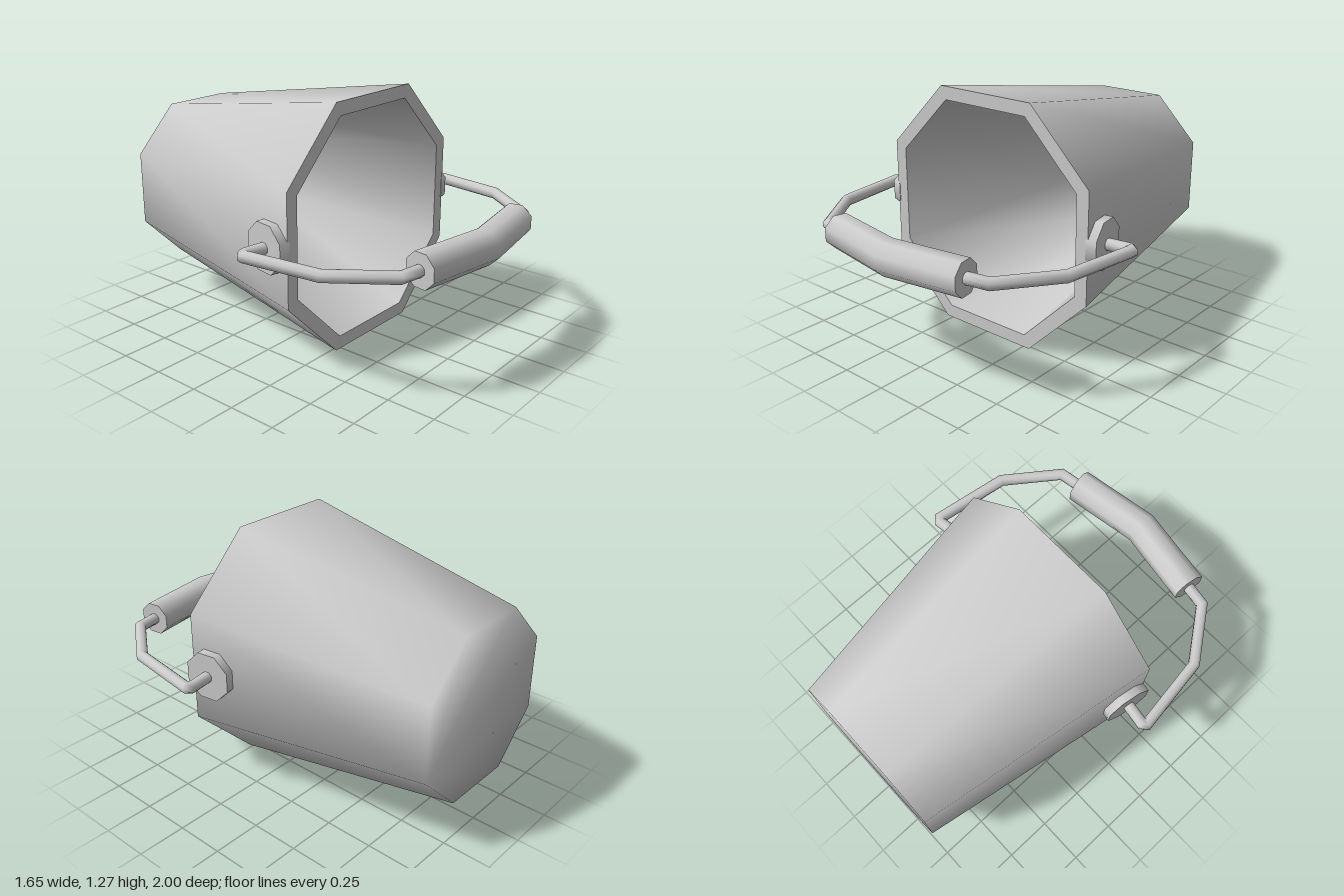
import * as THREE from 'three';

const material = new THREE.MeshStandardMaterial({ color: 0xcccccc });
const CY = 0.636; // height of the bucket axis

// Skin a list of rings (arrays of Vector3); optionally close the last ring with smooth normals
function loft(rings, closeEnd = false) {
  const n = rings[0].length, index = [];
  for (let r = 0; r < rings.length - 1; r++) {
    for (let i = 0; i < n; i++) {
      const a = r * n + i, b = r * n + (i + 1) % n;
      index.push(a, a + n, b, b, a + n, b + n);
    }
  }
  if (closeEnd) {
    const o = (rings.length - 1) * n;
    for (let i = 1; i < n - 1; i++) index.push(o, o + i + 1, o + i);
  }
  const geo = new THREE.BufferGeometry().setFromPoints(rings.flat());
  geo.setIndex(index);
  geo.computeVertexNormals();
  return geo;
}

// Octagon with flats on the axes: a = half width, h = half length of a flat
function octagon(a, h, z) {
  return [[a, -h], [a, h], [h, a], [-h, a], [-a, h], [-a, -h], [-h, -a], [h, -a]]
    .map(([x, y]) => new THREE.Vector3(x, y + CY, z));
}

// Mitred eight-sided tube along [x, z] points at the axis height, with flat ends
function sweep(path, apothem, name) {
  const r = apothem / Math.cos(Math.PI / 8);
  const dir = (p, q) => new THREE.Vector2(q[0] - p[0], q[1] - p[1]).normalize();
  const rings = path.map((p, i) => {
    const d0 = dir(path[Math.max(i - 1, 0)], path[Math.max(i, 1)]);
    const d1 = i < path.length - 1 ? dir(p, path[i + 1]) : d0;
    const t = d0.clone().add(d1).normalize();
    const stretch = 1 / t.dot(d1);
    return Array.from({ length: 8 }, (_, k) => {
      const ang = (k + 0.5) * Math.PI / 4, w = r * Math.cos(ang) * stretch;
      return new THREE.Vector3(p[0] - t.y * w, CY + r * Math.sin(ang), p[1] + t.x * w);
    });
  });
  const group = new THREE.Group();
  group.name = name;
  group.add(part(loft(rings), name + 'Side'));
  group.add(part(loft([[...rings[0]].reverse()], true), name + 'StartCap'));
  group.add(part(loft([rings[rings.length - 1]], true), name + 'EndCap'));
  return group;
}

function part(geo, name) {
  const mesh = new THREE.Mesh(geo, material);
  mesh.name = name;
  return mesh;
}

export function createModel() {
  const model = new THREE.Group();
  model.name = 'bucket';

  // Tapered shell lying on its side, open towards the front
  const rim = octagon(0.636, 0.287, 0.27), mouth = octagon(0.567, 0.256, 0.27);
  model.add(part(loft([rim, octagon(0.435, 0.196, -1)], true), 'outerWall'));
  model.add(part(loft([mouth.slice().reverse(), octagon(0.38, 0.171, -0.93).reverse()], true), 'innerWall'));

  // Flat ring joining the two walls
  const rimShape = new THREE.Shape(rim.map(p => new THREE.Vector2(p.x, p.y)));
  rimShape.holes.push(new THREE.Path(mouth.map(p => new THREE.Vector2(p.x, p.y))));
  model.add(part(new THREE.ShapeGeometry(rimShape).translate(0, 0, 0.27), 'rim'));

  // Octagonal mounting plates, tilted with the wall
  const tilt = Math.atan(0.158);
  for (const s of [1, -1]) {
    const plate = part(new THREE.CylinderGeometry(0.13, 0.13, 0.055, 8, 1, false, Math.PI / 8),
      s > 0 ? 'leftPlate' : 'rightPlate');
    plate.position.set(s * 0.634, CY, 0.15);
    plate.rotation.set(0, s * tilt, -s * Math.PI / 2);
    model.add(plate);
  }

  // Bent wire bail, mirrored across the middle
  const half = [[0.63, 0.152], [0.772, 0.13], [0.793, 0.148], [0.737, 0.55], [0.535, 0.825], [0.42, 0.845]];
  const mirrored = half.map(([x, z]) => [-x, z]);
  model.add(sweep([...mirrored, [0, 0.913], ...half.slice().reverse()], 0.028, 'handleWire'));

  // Thick grip around the middle of the wire
  model.add(sweep([[-0.42, 0.845], [0, 0.913], [0.42, 0.845]], 0.083, 'grip'));
  return model;
}
